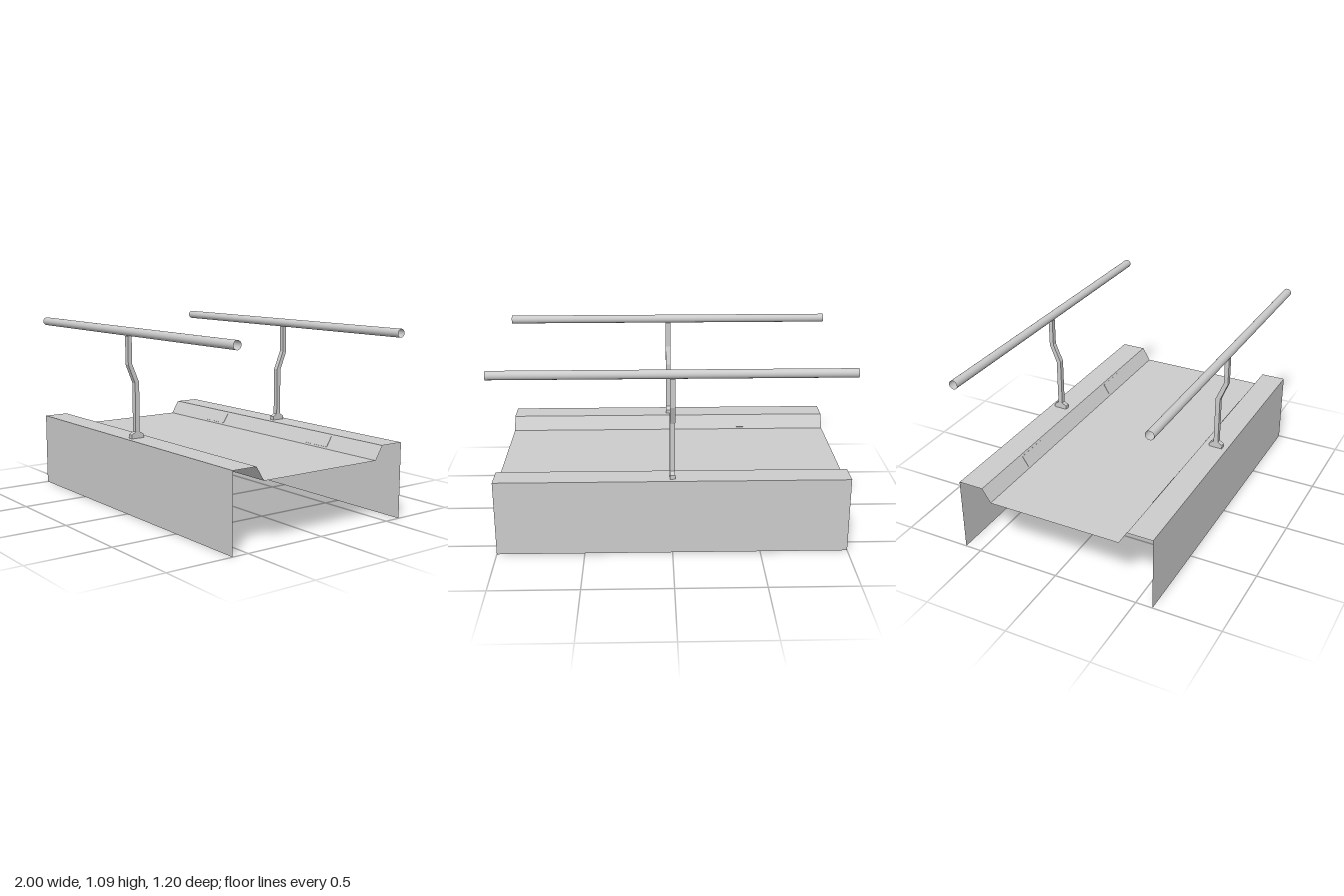
import * as THREE from 'three';

const LENGTH = 2;
const solid = new THREE.MeshStandardMaterial({ color: 0xcccccc, flatShading: true });
const sheet = new THREE.MeshStandardMaterial({ color: 0xcccccc, flatShading: true, side: THREE.DoubleSide });
const smooth = new THREE.MeshStandardMaterial({ color: 0xcccccc, side: THREE.DoubleSide });

function addMesh(parent, name, geometry, material) {
  const mesh = new THREE.Mesh(geometry, material);
  mesh.name = name;
  parent.add(mesh);
  return mesh;
}

// Thin folded sheet: a [z, y] profile swept along x
function foldedSheet(profile) {
  const positions = [];
  const h = LENGTH / 2;
  for (let i = 0; i < profile.length - 1; i++) {
    const [z0, y0] = profile[i], [z1, y1] = profile[i + 1];
    positions.push(-h, y0, z0, h, y0, z0, h, y1, z1, -h, y0, z0, h, y1, z1, -h, y1, z1);
  }
  const geometry = new THREE.BufferGeometry();
  geometry.setAttribute('position', new THREE.Float32BufferAttribute(positions, 3));
  geometry.computeVertexNormals();
  return geometry;
}

// Cranked post with a flared foot, outlined in [z, y]
function postGeometry() {
  const width = 0.03;
  const outline = [
    [0.57, 0.443], [0.57, 0.465], [0.544, 0.481], [0.544, 0.763], [0.588, 0.872], [0.588, 1.035],
    [0.563, 1.035], [0.563, 0.877], [0.517, 0.768], [0.517, 0.481], [0.49, 0.465], [0.49, 0.443],
  ];
  const shape = new THREE.Shape(outline.map(([z, y]) => new THREE.Vector2(z, y)));
  return new THREE.ExtrudeGeometry(shape, { depth: width, bevelEnabled: false })
    .translate(0, 0, -width / 2)
    .rotateY(-Math.PI / 2);
}

export function createModel() {
  const model = new THREE.Group();
  model.name = 'footbridge';

  // Side walls, raised kerbs and sunken walkway in one folded sheet
  const half = [[0.6, 0], [0.6, 0.443], [0.45, 0.443], [0.4, 0.363]];
  const profile = [...half, ...half.map(([z, y]) => [-z, y]).reverse()];
  addMesh(model, 'deck', foldedSheet(profile), sheet);

  // Each side carries a handrail, its post and two kerb lights
  for (const side of [1, -1]) {
    const railing = new THREE.Group();
    railing.name = side > 0 ? 'frontRailing' : 'backRailing';
    railing.rotation.y = side > 0 ? 0 : Math.PI;
    model.add(railing);

    const rail = new THREE.CylinderGeometry(0.025, 0.025, LENGTH, 24, 1, true).rotateZ(Math.PI / 2);
    addMesh(railing, 'handrail', rail, smooth).position.set(0, 1.06, 0.575);

    addMesh(railing, 'post', postGeometry(), solid);

    for (const x of [-0.5, 0.5]) {
      const light = addMesh(railing, 'kerbLight', new THREE.BoxGeometry(0.2, 0.07, 0.007), solid);
      light.position.set(x, 0.402, 0.426);
      light.rotation.x = Math.atan2(0.05, 0.08);
    }
  }
  return model;
}
